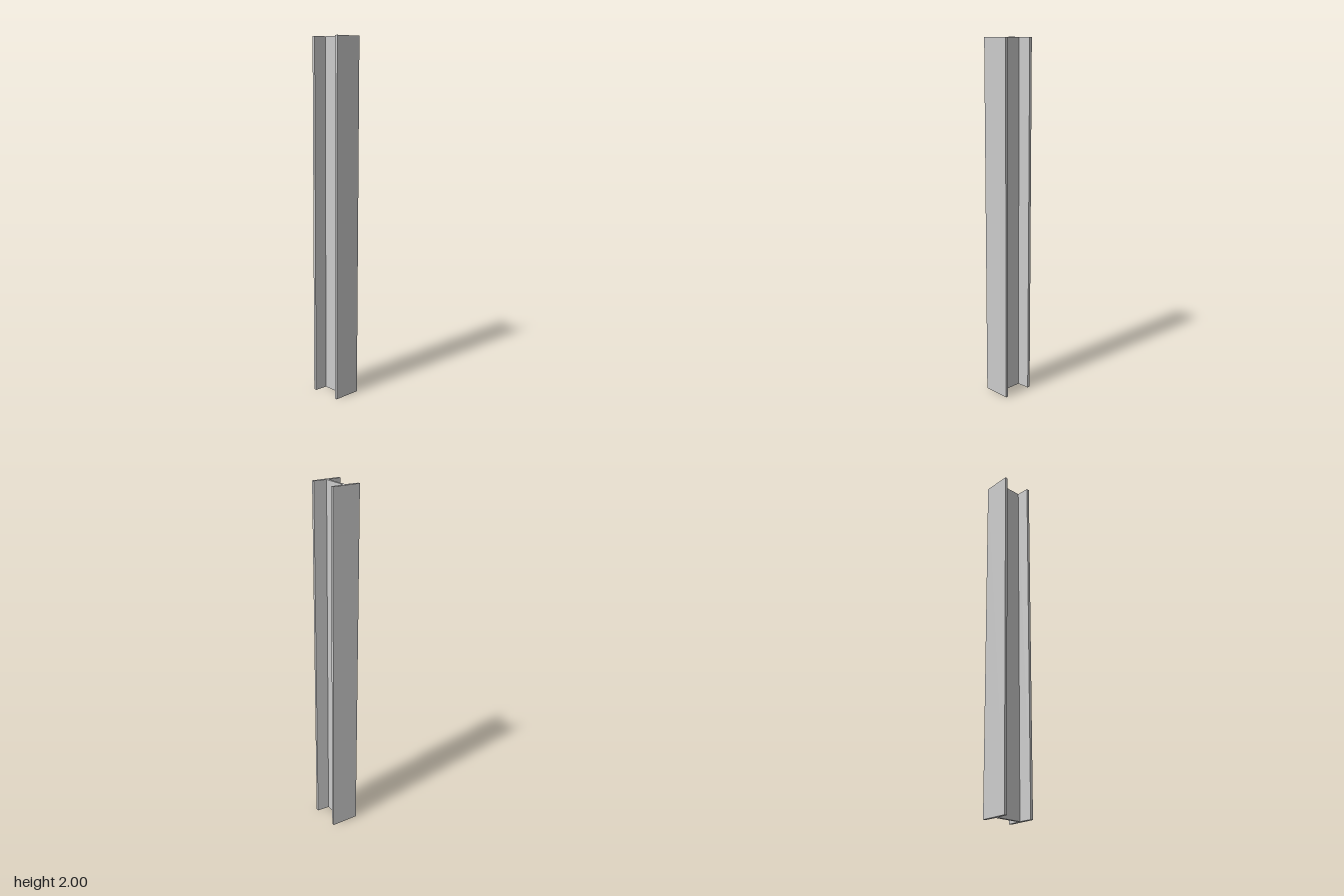
import * as THREE from 'three';

export function createModel() {
  const height = 2, lean = 0.0017;

  // One quarter of the I-section: flange edge, tapered inner face, web
  const quarter = [[0.08, 0.0955], [0.08, 0.0795], [0.007, 0.0745]];
  const flip = (sx, sy) => quarter.map(([x, y]) => new THREE.Vector2(sx * x, sy * y));
  const outline = [
    ...flip(1, -1), ...flip(1, 1).reverse(),
    ...flip(-1, 1), ...flip(-1, -1).reverse(),
  ];

  // Upright beam with its section twisted very slightly about its axis
  const geometry = new THREE.ExtrudeGeometry(new THREE.Shape(outline), { depth: height, bevelEnabled: false });
  geometry.rotateX(-Math.PI / 2);
  geometry.rotateY(0.01);

  // Slight forward lean of the top over the foot
  const p = geometry.attributes.position;
  for (let i = 0; i < p.count; i++) {
    p.setZ(i, p.getZ(i) + lean * (p.getY(i) - height / 2));
  }
  geometry.computeVertexNormals();

  const beam = new THREE.Mesh(geometry, new THREE.MeshStandardMaterial({ color: 0xcccccc, flatShading: true }));
  beam.name = 'steelBeam';

  const group = new THREE.Group();
  group.name = 'beamColumn';
  group.add(beam);
  return group;
}
